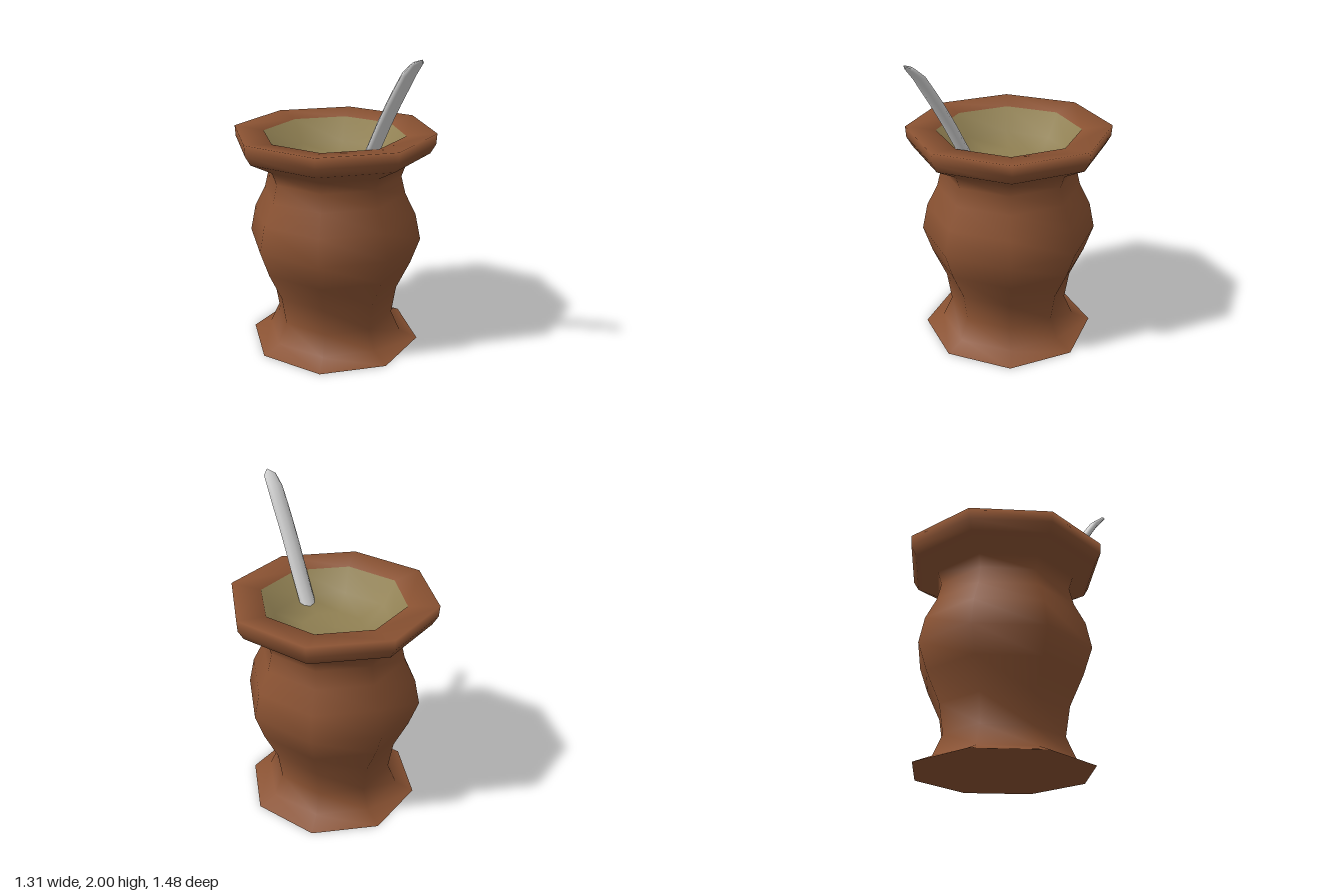
import * as THREE from 'three';

const SIDES = 8;
const CUP_Z = -0.085;

// Outer wall from foot to lip, over the rim, then down into the bowl: [radius, y]
const PROFILE = [
  [0.568, 0], [0.45, 0.05], [0.39, 0.185], [0.42, 0.37], [0.51, 0.56],
  [0.57, 0.73], [0.535, 0.9], [0.465, 1.04], [0.437, 1.155], [0.465, 1.235],
  [0.615, 1.315], [0.65, 1.375], [0.655, 1.445],
  [0.462, 1.42], [0.38, 1.27], [0.2, 1.215], [0, 1.21],
];
const INNER_ROW = 13; // first row of the bowl lining

// Straw stations from the bowl to the mouthpiece: [y, z, halfWidth, halfThickness]
const STRAW = [
  [1.17, 0.185, 0.04, 0.018], [1.22, 0.212, 0.055, 0.028], [1.44, 0.341, 0.056, 0.028],
  [1.58, 0.42, 0.056, 0.028], [1.72, 0.506, 0.056, 0.028], [1.82, 0.573, 0.056, 0.027],
  [1.91, 0.634, 0.054, 0.025], [1.975, 0.7, 0.043, 0.015], [1.998, 0.736, 0.004, 0.003],
];

const material = (name, color) => {
  const m = new THREE.MeshStandardMaterial({ color });
  m.name = name;
  return m;
};

const addMesh = (group, name, geometry, mat) => {
  const mesh = new THREE.Mesh(geometry, mat);
  mesh.name = name;
  group.add(mesh);
  return mesh;
};

// Keep only the lathe faces whose lowest profile row lies in [from, to)
function latheRows(lathe, from, to) {
  const kept = [];
  const index = lathe.index.array;
  for (let i = 0; i < index.length; i += 3) {
    const tri = [index[i], index[i + 1], index[i + 2]];
    const row = Math.min(...tri.map((v) => v % PROFILE.length));
    if (row >= from && row < to) kept.push(...tri);
  }
  const part = lathe.clone();
  part.setIndex(kept);
  return part;
}

// Oval tube that follows the stations in the yz plane
function strawGeometry() {
  const positions = [], index = [];
  const last = STRAW.length - 1;
  STRAW.forEach(([y, z, w, h], i) => {
    const a = STRAW[Math.max(i - 1, 0)], b = STRAW[Math.min(i + 1, last)];
    const t = new THREE.Vector2(b[0] - a[0], b[1] - a[1]).normalize();
    for (let j = 0; j < SIDES; j++) {
      const angle = (j / SIDES) * Math.PI * 2;
      const s = Math.sin(angle) * h;
      positions.push(Math.cos(angle) * w, y + t.y * s, z - t.x * s);
      if (i === last) continue;
      const k = (j + 1) % SIDES, r = i * SIDES;
      index.push(r + j, r + k, r + SIDES + j, r + k, r + SIDES + k, r + SIDES + j);
    }
  });
  // End caps
  for (let j = 1; j < SIDES - 1; j++) {
    const r = last * SIDES;
    index.push(0, j + 1, j, r, r + j, r + j + 1);
  }
  const geometry = new THREE.BufferGeometry();
  geometry.setAttribute('position', new THREE.Float32BufferAttribute(positions, 3));
  geometry.setIndex(index);
  geometry.computeVertexNormals();
  return geometry;
}

export function createModel() {
  const brown = material('brown gourd', 0x8a5232);
  const olive = material('olive lining', 0x8f7f52);
  const metal = material('pale metal', 0xd6d6d6);

  const model = new THREE.Group();
  model.name = 'gourdCupWithStraw';

  // Cup: wall with rim, bowl lining and flat base
  const cup = new THREE.Group();
  cup.name = 'cup';
  cup.position.z = CUP_Z;
  model.add(cup);
  const lathe = new THREE.LatheGeometry(PROFILE.map(([r, y]) => new THREE.Vector2(r, y)), SIDES);
  addMesh(cup, 'cupWall', latheRows(lathe, 0, INNER_ROW), brown);
  addMesh(cup, 'bowlLining', latheRows(lathe, INNER_ROW, PROFILE.length), olive);
  const base = new THREE.CircleGeometry(PROFILE[0][0], SIDES).rotateX(Math.PI / 2);
  addMesh(cup, 'base', base, brown);

  // Curved drinking straw leaning to the front
  addMesh(model, 'straw', strawGeometry(), metal);
  return model;
}
